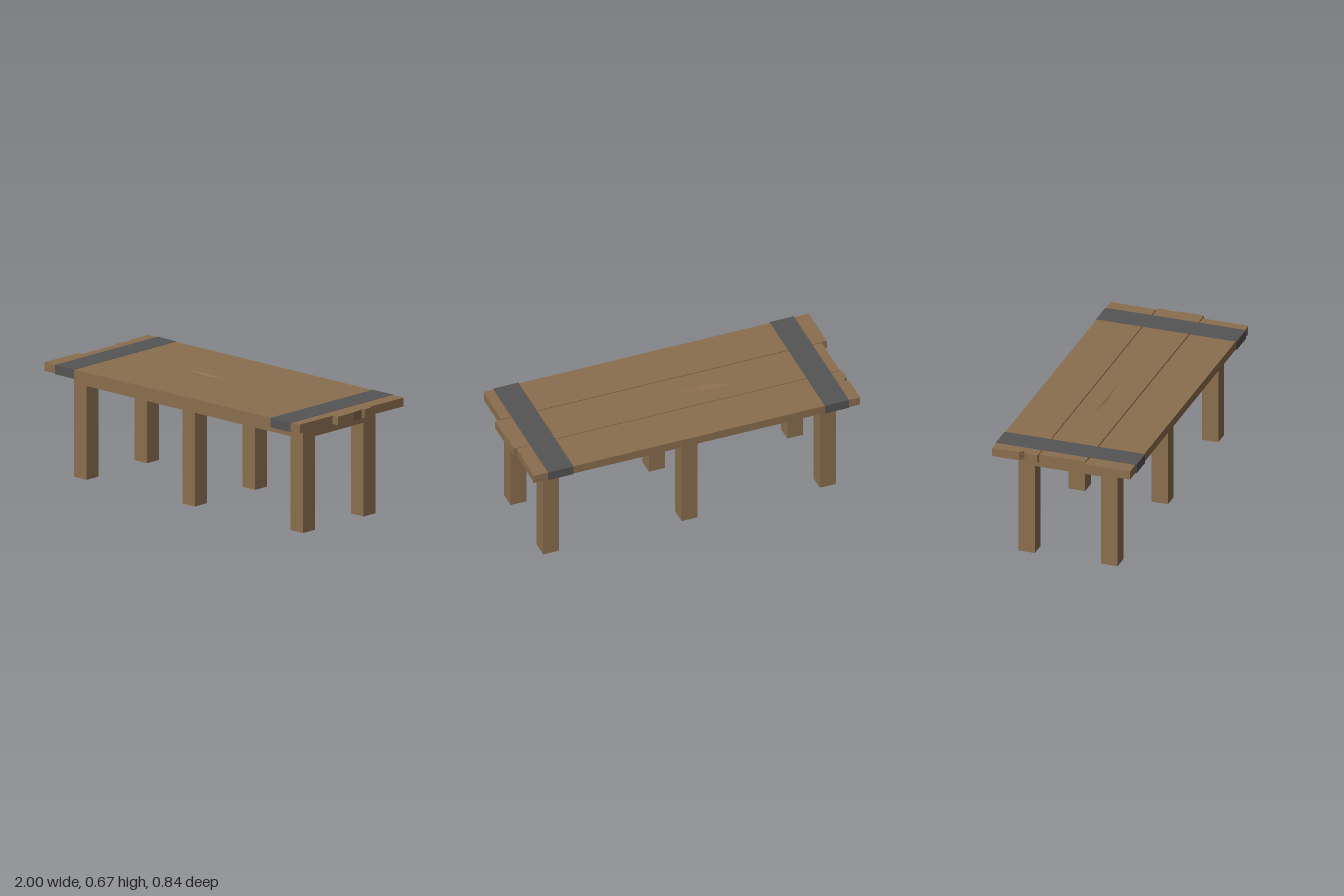
import * as THREE from 'three';

const wood = new THREE.MeshStandardMaterial({ color: 0x8b6f4e, flatShading: true });
const metal = new THREE.MeshStandardMaterial({ color: 0x555555, flatShading: true });
const BOTTOM = 0.615, TOP = 0.665, BEAM_TOP = 0.65;

export function createModel() {
  const model = new THREE.Group();
  const add = (name, geometry, material = wood) => {
    const mesh = new THREE.Mesh(geometry, material);
    mesh.name = name;
    model.add(mesh);
    return mesh;
  };
  const box = (name, x0, x1, y0, y1, z0, z1) =>
    add(name, new THREE.BoxGeometry(x1 - x0, y1 - y0, z1 - z0))
      .position.set((x0 + x1) / 2, (y0 + y1) / 2, (z0 + z1) / 2);

  // Horizontal slab from an outline of [x, z] points
  const toPoints = (pts) => pts.map(([x, z]) => new THREE.Vector2(x, -z));
  const slab = (name, outline, y0, y1, hole) => {
    const shape = new THREE.Shape(toPoints(outline));
    if (hole) shape.holes.push(new THREE.Path(toPoints(hole)));
    const geo = new THREE.ExtrudeGeometry(shape, { depth: y1 - y0, bevelEnabled: false });
    geo.rotateX(-Math.PI / 2).translate(0, y0, 0);
    add(name, geo);
  };

  // Table planks with chipped ends
  slab('backPlank', [[-0.98, -0.415], [0.985, -0.415], [0.98, -0.145], [-0.98, -0.145],
    [-0.98, -0.21], [-0.957, -0.235], [-0.98, -0.255]], BOTTOM, TOP);
  slab('frontPlank', [[-1, 0.14], [0.962, 0.14], [0.96, 0.404], [0.948, 0.412], [-1, 0.412]], BOTTOM, TOP);
  const middle = [[-0.967, -0.14], [0.998, -0.14], [0.998, -0.086], [0.986, -0.071],
    [0.999, 0.01], [0.999, 0.134], [-0.967, 0.134]];
  const gouge = [[-0.35, -0.032], [0, -0.024], [0.002, 0.008], [-0.2, 0.026]];
  slab('middlePlank', middle, BOTTOM, 0.654, null);
  slab('middlePlankTop', middle, 0.654, TOP, gouge);

  // Shallow gouge: rim sloping to one low point
  const low = [-0.18, 0.655, -0.016];
  const tris = [];
  gouge.forEach(([x, z], i) => {
    const [nx, nz] = gouge[(i + 1) % gouge.length];
    tris.push(nx, TOP, nz, x, TOP, z, ...low);
  });
  const gougeGeo = new THREE.BufferGeometry();
  gougeGeo.setAttribute('position', new THREE.Float32BufferAttribute(tris, 3));
  gougeGeo.computeVertexNormals();
  add('gouge', gougeGeo);

  // Thin metal bands wrapped around the planks
  const rect = (Type, z0, z1, y0, y1) =>
    new Type([[z0, y0], [z1, y0], [z1, y1], [z0, y1]].map(([a, b]) => new THREE.Vector2(a, b)));
  for (const [name, x0, x1] of [['rightBand', -0.912, -0.767], ['leftBand', 0.747, 0.9]]) {
    const ring = rect(THREE.Shape, -0.418, 0.418, BOTTOM - 0.002, TOP + 0.002);
    ring.holes.push(rect(THREE.Path, -0.4155, 0.4155, BOTTOM - 0.0005, TOP + 0.0005));
    const geo = new THREE.ExtrudeGeometry(ring, { depth: x1 - x0, bevelEnabled: false });
    geo.rotateY(Math.PI / 2).translate(x0, 0, 0);
    add(name, geo, metal);
  }

  // Three leg pairs, each joined by a cross beam
  for (const [name, x] of [['right', -0.833], ['middle', 0], ['left', 0.833]]) {
    const x0 = x - 0.048, x1 = x + 0.048;
    box(name + 'FrontLeg', x0, x1, 0, BEAM_TOP, 0.197, 0.295);
    box(name + 'BackLeg', x0, x1, 0, BEAM_TOP, -0.295, -0.197);
    box(name + 'CrossBeam', x0, x1, 0.543, BEAM_TOP, -0.197, 0.197);
  }

  // Long rails between the legs
  for (const [name, z] of [['front', 0.246], ['back', -0.246]]) {
    for (const [side, x0, x1] of [['Right', -0.785, -0.048], ['Left', 0.048, 0.785]]) {
      box(name + side + 'Rail', x0, x1, 0.543, BEAM_TOP, z - 0.049, z + 0.049);
    }
  }
  return model;
}
